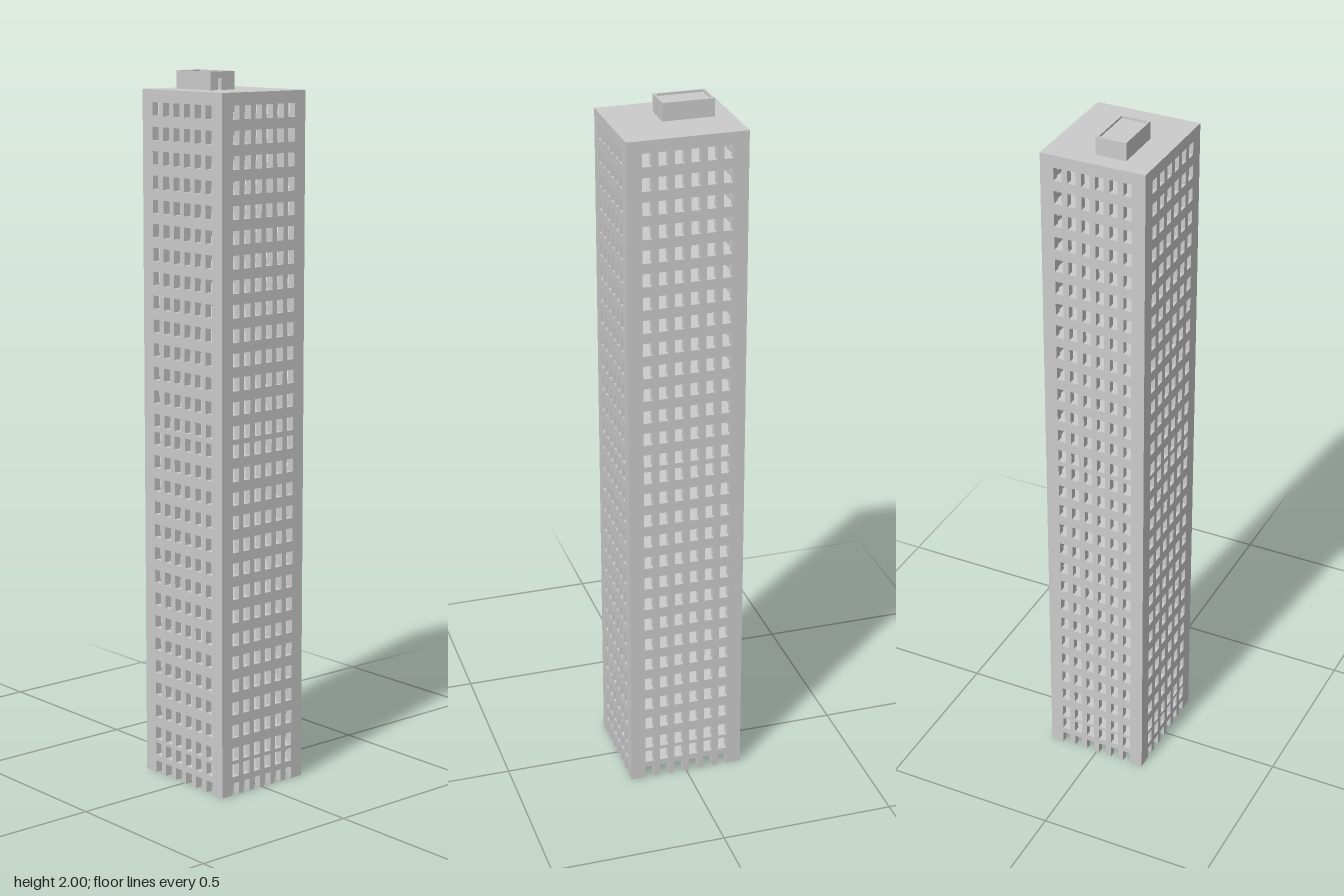
import * as THREE from 'three';

const material = new THREE.MeshStandardMaterial({ color: 0xcccccc, flatShading: true });

// Overall sizes of the tower
const WIDTH = 0.298, DEPTH = 0.334, TOP = 1.95, WALL = 0.02, ROOF = 0.02;
const WINDOW_H = 0.037, SLAB = 0.014;

// Window sill heights: two lobby rows, then two stacks of 14 storeys
const sills = [0.053];
for (const base of [0.119, 1.034]) {
  for (let i = 0; i < 14; i++) sills.push(base + i * 0.0664 - WINDOW_H / 2);
}

function addMesh(parent, name, geometry, x = 0, y = 0, z = 0) {
  const mesh = new THREE.Mesh(geometry, material);
  mesh.name = name;
  mesh.position.set(x, y, z);
  parent.add(mesh);
  return mesh;
}

function addBox(parent, name, w, h, d, x, y, z) {
  return addMesh(parent, name, new THREE.BoxGeometry(w, h, d), x, y + h / 2, z);
}

// Upright wall whose outer face lies at z = 0; doors are notches in the bottom edge
function wallGeometry(width, height, thickness, doors, doorH, windows = []) {
  const h = width / 2;
  const shape = new THREE.Shape();
  shape.moveTo(-h, 0);
  for (const [x, w] of doors) {
    shape.lineTo(x - w / 2, 0);
    shape.lineTo(x - w / 2, doorH);
    shape.lineTo(x + w / 2, doorH);
    shape.lineTo(x + w / 2, 0);
  }
  shape.lineTo(h, 0);
  shape.lineTo(h, height);
  shape.lineTo(-h, height);
  shape.closePath();
  for (const [x, y, w, wh] of windows) {
    const hole = new THREE.Path();
    hole.moveTo(x - w / 2, y);
    hole.lineTo(x - w / 2, y + wh);
    hole.lineTo(x + w / 2, y + wh);
    hole.lineTo(x + w / 2, y);
    hole.closePath();
    shape.holes.push(hole);
  }
  const geometry = new THREE.ExtrudeGeometry(shape, { depth: thickness, bevelEnabled: false });
  return geometry.translate(0, 0, -thickness);
}

// Facade with six columns of open windows
function facadeGeometry(width, spacing, windowW) {
  const columns = [];
  for (let i = 0; i < 6; i++) columns.push((i - 2.5) * spacing);
  const doors = columns.map((x) => [x, windowW]);
  const windows = sills.flatMap((y) => columns.map((x) => [x, y, windowW, WINDOW_H]));
  return wallGeometry(width, TOP - ROOF, WALL, doors, 0.035, windows);
}

export function createModel() {
  const model = new THREE.Group();
  model.name = 'officeTower';

  // Four facades: the side ones fit between front and back
  const frontGeometry = facadeGeometry(WIDTH, 0.0397, 0.023);
  const sideGeometry = facadeGeometry(DEPTH - 2 * WALL, 0.0445, 0.026);
  addMesh(model, 'frontFacade', frontGeometry, 0, 0, DEPTH / 2);
  addMesh(model, 'backFacade', frontGeometry, 0, 0, -DEPTH / 2).rotation.y = Math.PI;
  addMesh(model, 'leftFacade', sideGeometry, WIDTH / 2).rotation.y = Math.PI / 2;
  addMesh(model, 'rightFacade', sideGeometry, -WIDTH / 2).rotation.y = -Math.PI / 2;

  // Floor slabs just above each row of openings, and the roof
  const floors = new THREE.Group();
  floors.name = 'floors';
  model.add(floors);
  const heads = [0.036, ...sills.slice(0, -1).map((y) => y + WINDOW_H)];
  for (const y of heads) {
    // the lowest storeys are closely stacked, so keep each slab inside its spandrel
    const next = sills.find((s) => s > y);
    const thickness = Math.min(SLAB, next - y);
    addBox(floors, 'floorSlab', WIDTH - 2 * WALL, thickness, DEPTH - 2 * WALL, 0, y, 0);
  }
  addBox(model, 'roof', WIDTH, ROOF, DEPTH, 0, TOP - ROOF, 0);

  // Rooftop stair house: thin walls, a doorway and a sunken roof
  const house = new THREE.Group();
  house.name = 'stairHouse';
  house.position.set(-0.028, TOP, -0.044);
  model.add(house);
  const w = 0.086, d = 0.144, h = 0.05, t = 0.006;
  addMesh(house, 'doorWall', wallGeometry(w, h, t, [[-0.01, 0.014]], 0.032), 0, 0, d / 2);
  addBox(house, 'backWall', w, h, t, 0, 0, -d / 2 + t / 2);
  for (const side of [-1, 1]) {
    addBox(house, 'sideWall', t, h, d - 2 * t, side * (w - t) / 2, 0, 0);
  }
  addBox(house, 'stairHouseRoof', w - 2 * t, 0.006, d - 2 * t, 0, h - 0.012, 0);

  return model;
}
